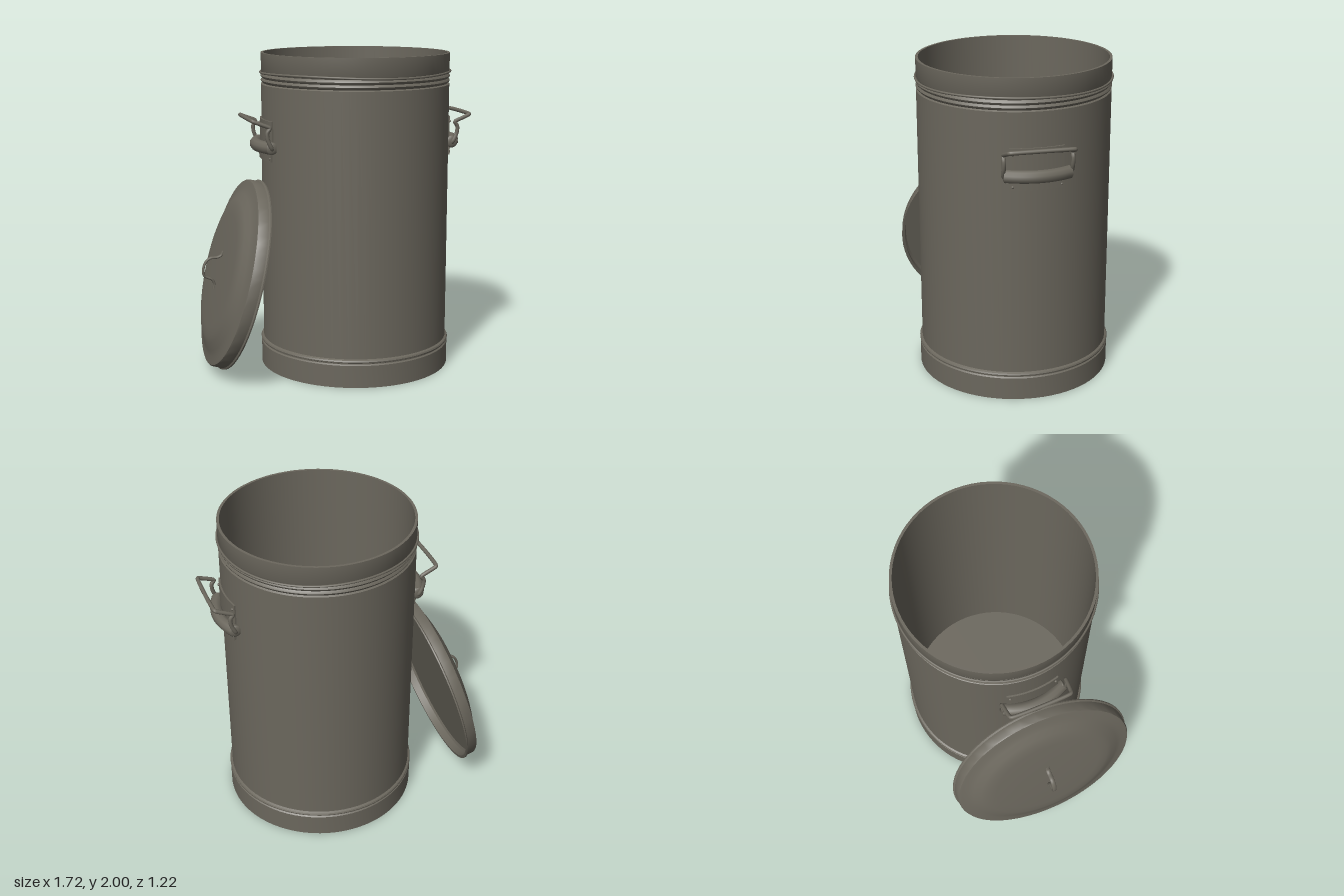
import * as THREE from 'three';
import { toCreasedNormals } from 'three/addons/utils/BufferGeometryUtils.js';

const V = (x, y, z) => new THREE.Vector3(x, y, z);

export function createModel() {
  const metal = new THREE.MeshStandardMaterial({ color: 0x6b675d });
  metal.name = 'dull grey metal';

  const mesh = (geometry, name, parent) => {
    const m = new THREE.Mesh(geometry, metal);
    m.name = name;
    parent.add(m);
    return m;
  };
  const lathe = (points, name, parent) => mesh(toCreasedNormals(
    new THREE.LatheGeometry(points.map(([r, y]) => new THREE.Vector2(r, y)), 72), 0.6), name, parent);
  const tube = (points, radius, name, parent, closed = false, steps = 72) => mesh(
    new THREE.TubeGeometry(new THREE.CatmullRomCurve3(points, closed, 'centripetal'), steps, radius, 10, closed), name, parent);

  const model = new THREE.Group();
  model.name = 'binWithLid';

  // Bin: closed wall section with base band, beads and inner floor
  const bin = new THREE.Group();
  bin.name = 'bin';
  bin.position.x = 0.14;
  model.add(bin);
  lathe([
    [0, 0], [0.605, 0], [0.605, 0.14], [0.597, 0.147], [0.597, 0.152],
    [0.606, 0.156], [0.608, 0.164], [0.604, 0.172], [0.592, 0.178],
    [0.592, 1.805], [0.582, 1.812], [0.59, 1.82], [0.594, 1.828], [0.59, 1.836],
    [0.584, 1.842], [0.592, 1.85], [0.595, 1.857], [0.59, 1.866], [0.584, 1.872],
    [0.592, 1.888], [0.592, 2], [0.576, 2], [0.576, 0.03], [0, 0.03],
  ], 'binShell', bin);

  // Slightly uneven wire hoop below the collar
  const hoop = [];
  for (let i = 0; i < 48; i++) {
    const a = i / 48 * Math.PI * 2;
    hoop.push(V(0.596 * Math.cos(a), 1.881 + 0.005 * Math.sin(3 * a + 0.6), 0.596 * Math.sin(a)));
  }
  tube(hoop, 0.007, 'wireHoop', bin, true, 144);

  // Curved plate hugging the wall, centred on +x
  const plate = (radius, halfWidth, y0, y1, name, parent) => {
    const half = Math.asin(halfWidth / radius);
    const s = new THREE.Shape();
    s.absarc(0, 0, radius, -half, half, false);
    s.absarc(0, 0, 0.585, half, -half, true);
    s.closePath();
    const g = new THREE.ExtrudeGeometry(s, { depth: y1 - y0, bevelEnabled: false, curveSegments: 12 });
    g.rotateX(-Math.PI / 2).translate(0, y0, 0);
    mesh(toCreasedNormals(g, 0.5), name, parent);
  };

  const sideHandle = (name, turn) => {
    const h = new THREE.Group();
    h.name = name;
    h.rotation.y = turn;
    bin.add(h);
    plate(0.602, 0.165, 1.41, 1.595, 'mountPlate', h);
    plate(0.607, 0.155, 1.345, 1.415, 'mountTab', h);

    // Rivets
    for (const z of [-0.145, 0.145]) for (const y of [1.365, 1.56]) {
      const r = mesh(new THREE.SphereGeometry(0.009, 10, 8), 'rivet', h);
      r.position.set(Math.sqrt(0.603 ** 2 - z * z), y, z);
    }

    // Bowed rolled sleeve that holds the bail
    const sleeve = [-0.19, -0.13, -0.065, 0, 0.065, 0.13, 0.19]
      .map(z => V(0.635 - 1.35 * z * z, 1.435, z));
    tube(sleeve, 0.039, 'gripSleeve', h, false, 32);
    for (const s of [-1, 1]) {
      const cap = mesh(new THREE.SphereGeometry(0.039, 14, 10), 'sleeveEnd', h);
      cap.position.copy(sleeve[s < 0 ? 0 : 6]);
      cap.scale.z = 0.35;
    }

    // Wire bail: one side, then its mirror
    const side = [
      V(0.588, 1.425, 0.15), V(0.583, 1.425, 0.185), V(0.588, 1.435, 0.2), V(0.612, 1.49, 0.203),
      V(0.615, 1.535, 0.203), V(0.598, 1.562, 0.203), V(0.61, 1.569, 0.202), V(0.685, 1.598, 0.195),
      V(0.699, 1.604, 0.191), V(0.704, 1.606, 0.178),
    ];
    const other = side.map(p => V(p.x, p.y, -p.z)).reverse();
    tube([...side, ...other], 0.0125, 'wireBail', h, false, 140);
  };
  sideHandle('leftHandle', 0);
  sideHandle('rightHandle', Math.PI);

  // Lid leaning on the bin, its own y pointing outwards
  const lid = new THREE.Group();
  lid.name = 'lid';
  lid.position.set(-0.615, 0.615, 0);
  lid.rotation.z = 1.312;
  model.add(lid);
  lathe([
    [0, 0.062], [0.575, 0.062], [0.59, 0.05], [0.59, 0], [0.608, 0], [0.609, 0.008], [0.6, 0.015],
    [0.598, 0.07], [0.592, 0.079], [0.575, 0.083], [0.54, 0.088], [0.505, 0.101], [0.46, 0.122],
    [0.42, 0.134], [0.36, 0.139], [0.2, 0.143], [0, 0.145],
  ], 'lidShell', lid);

  // Bent strap handle with splayed feet
  const strap = tube([
    V(0.125, 0.144, 0), V(0.095, 0.15, 0), V(0.078, 0.17, 0), V(0.062, 0.215, 0), V(0.03, 0.236, 0),
    V(-0.025, 0.238, 0), V(-0.055, 0.222, 0), V(-0.068, 0.17, 0), V(-0.09, 0.15, 0), V(-0.125, 0.144, 0),
  ], 0.008, 'lidHandle', lid);
  strap.scale.z = 1.9;

  return model;
}
